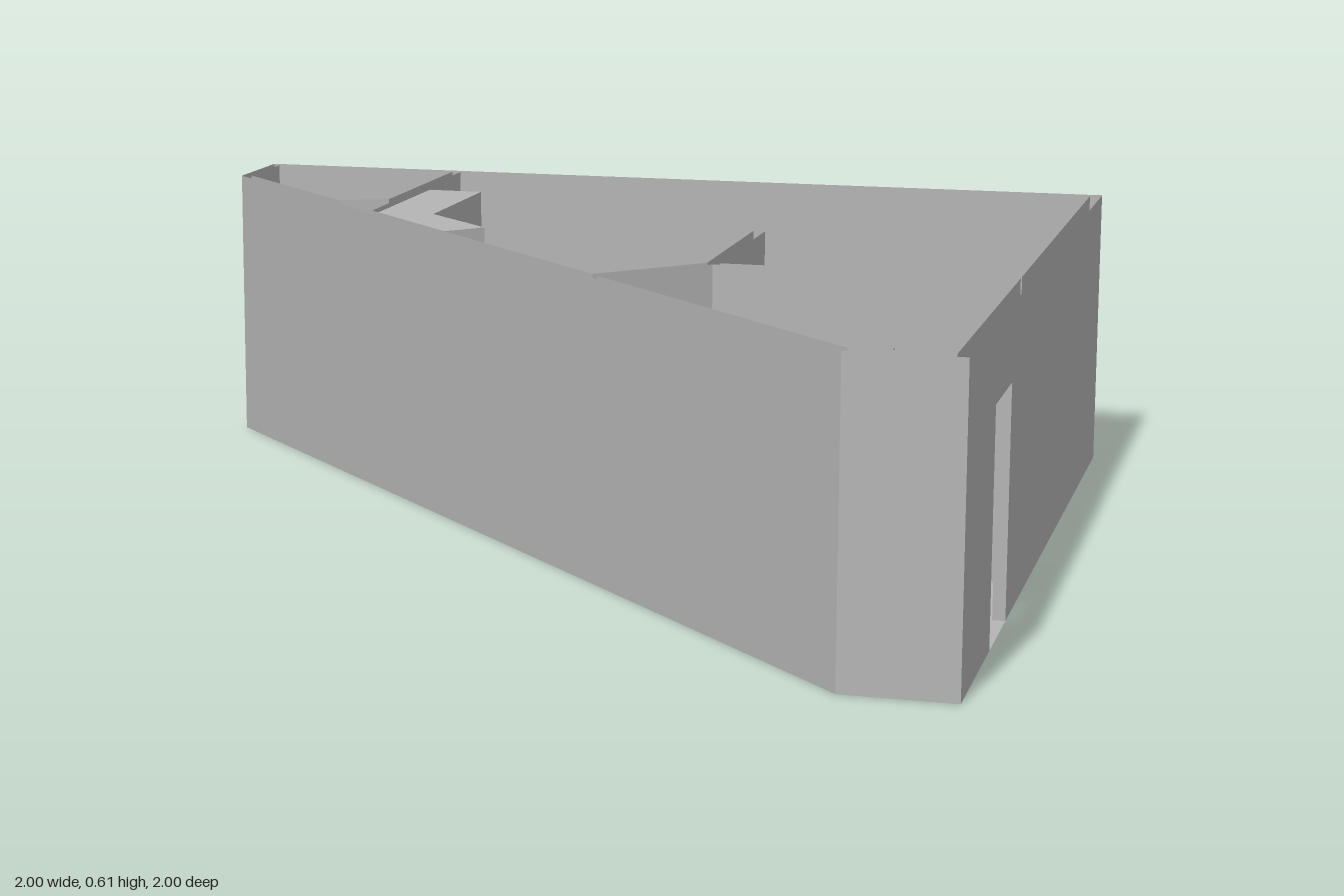
import * as THREE from 'three';

const WALL_H = 0.61, DOOR_H = 0.46;

export function createModel() {
  const model = new THREE.Group();
  model.name = 'apartment';
  const grey = new THREE.MeshStandardMaterial({ color: 0xb4b4b4, side: THREE.DoubleSide });
  grey.name = 'plain grey';

  const add = (name, geometry, parent = model) => {
    const mesh = new THREE.Mesh(geometry, grey);
    mesh.name = name;
    parent.add(mesh);
    return mesh;
  };
  // plan outline in (x, z)
  const plan = (pts) => new THREE.Shape(pts.map(([x, z]) => new THREE.Vector2(x, -z)));
  const rect = (x0, x1, z0, z1) => [[x0, z0], [x1, z0], [x1, z1], [x0, z1]];

  // upright block from a plan outline, with optional hole
  const prism = (name, pts, y0, y1, hole, parent) => {
    const shape = plan(pts);
    if (hole) shape.holes.push(plan(hole));
    const g = new THREE.ExtrudeGeometry(shape, { depth: y1 - y0, bevelEnabled: false });
    return add(name, g.rotateX(-Math.PI / 2).translate(0, y0, 0), parent);
  };

  // block from a (z, y) profile running from x0 to x1
  const sideProfile = (name, pts, x0, x1, parent) => {
    const shape = new THREE.Shape(pts.map(([z, y]) => new THREE.Vector2(z, y)));
    const g = new THREE.ExtrudeGeometry(shape, { depth: x1 - x0, bevelEnabled: false });
    return add(name, g.rotateY(-Math.PI / 2).translate(x1, 0, 0), parent);
  };

  // ring of upright wall faces; doors maps a side index to [start, end] along it
  const wallRing = (name, pts, doors = {}) => {
    const ring = new THREE.Group();
    ring.name = name;
    pts.forEach(([x, z], i) => {
      const [x2, z2] = pts[(i + 1) % pts.length];
      const len = Math.hypot(x2 - x, z2 - z);
      const outline = [[0, 0]];
      if (doors[i]) {
        const [a, b] = doors[i];
        outline.push([a, 0], [a, DOOR_H], [b, DOOR_H], [b, 0]);
      }
      outline.push([len, 0], [len, WALL_H], [0, WALL_H]);
      const shape = new THREE.Shape(outline.map((p) => new THREE.Vector2(...p)));
      const g = new THREE.ShapeGeometry(shape);
      g.rotateY(Math.atan2(z - z2, x2 - x)).translate(x, 0, z);
      add('wall', g, ring);
    });
    model.add(ring);
  };

  const room = (name, pts, doors) => {
    add(name + 'Floor', new THREE.ShapeGeometry(plan(pts)).rotateX(-Math.PI / 2));
    wallRing(name + 'Walls', pts, doors);
  };

  // door lining: a box without the two faces one walks through
  const doorLining = (name, x0, x1, z0, z1, alongX) => {
    const g = new THREE.BoxGeometry(x1 - x0, DOOR_H, z1 - z0);
    const index = Array.from(g.index.array);
    g.setIndex(alongX ? index.slice(12) : index.slice(0, 24));
    g.clearGroups();
    add(name, g.translate((x0 + x1) / 2, DOOR_H / 2, (z0 + z1) / 2));
  };

  // outer shell, open on top between its faces and the room faces
  wallRing('outerWalls',
    [[-1, -1], [1, -1], [1, 1], [0.78, 1], [-1, -0.78]],
    { 1: [1.45, 1.66] });

  // rooms
  room('sideRoom',
    [[-0.98, -0.98], [-0.54, -0.98], [-0.54, -0.505], [-0.645, -0.46], [-0.98, -0.79]],
    { 1: [0.01, 0.22] });
  room('livingRoom',
    [[-0.52, -0.98], [0.975, -0.98], [0.975, 0.16], [0.375, 0.16], [0.375, -0.27],
      [0.35, -0.27], [0.35, 0.16], [0.165, 0.35], [-0.52, -0.33]],
    { 2: [0.05, 0.245], 8: [0.43, 0.64] });
  room('entryRoom',
    [[0.365, 0.178], [0.975, 0.178], [0.975, 0.97], [0.785, 0.97], [0.18, 0.37]],
    { 0: [0.365, 0.56], 1: [0.272, 0.482] });

  doorLining('frontDoorway', 0.975, 1, 0.45, 0.66, true);
  doorLining('sideRoomDoorway', -0.54, -0.52, -0.97, -0.76, true);
  doorLining('entryDoorway', 0.73, 0.925, 0.16, 0.178, false);

  // tall angled wardrobe
  prism('wardrobe',
    [[-0.52, -0.74], [-0.395, -0.74], [-0.395, -0.38], [-0.23, -0.225], [-0.315, -0.13], [-0.52, -0.33]],
    0, 0.6);

  // bed along the slanted wall and corner table
  prism('bed', [[-0.165, 0.02], [-0.02, -0.125], [0.31, 0.205], [0.165, 0.35]], 0, 0.14);
  prism('cornerTable', [[0.22, 0.115], [0.27, 0.07], [0.35, 0.07], [0.35, 0.16], [0.31, 0.205]], 0, 0.12);

  // sofa facing the back wall
  const sofa = new THREE.Group();
  sofa.name = 'sofa';
  model.add(sofa);
  sideProfile('seat', [[-0.73, 0], [-0.57, 0], [-0.57, 0.1], [-0.73, 0.1]], -0.17, 0.24, sofa);
  sideProfile('backrest',
    [[-0.575, 0], [-0.49, 0], [-0.52, 0.2], [-0.545, 0.2], [-0.575, 0.1]], -0.17, 0.24, sofa);
  for (const x of [-0.2, 0.24]) {
    sideProfile('arm', [[-0.73, 0], [-0.49, 0], [-0.512, 0.15], [-0.73, 0.15]], x, x + 0.03, sofa);
  }

  // screen on the back wall
  prism('screen', rect(-0.16, 0.225, -0.975, -0.963), 0.115, 0.305);

  // kitchen counter with sink
  prism('counter',
    [[0.655, -0.98], [0.975, -0.98], [0.975, -0.435], [0.815, -0.435], [0.815, -0.825], [0.655, -0.825]],
    0, 0.21, rect(0.83, 0.91, -0.59, -0.475));
  prism('sinkBottom', rect(0.83, 0.91, -0.59, -0.475), 0.15, 0.155);
  prism('fridge', rect(0.8, 0.975, -0.435, -0.26), 0, 0.475);

  // stove with four square burners
  prism('stove', rect(0.48, 0.655, -0.98, -0.825), 0, 0.21);
  for (const x of [0.503, 0.578]) {
    for (const z of [-0.968, -0.898]) {
      prism('burner', rect(x, x + 0.058, z, z + 0.054), 0.21, 0.217,
        rect(x + 0.007, x + 0.051, z + 0.007, z + 0.047));
    }
  }
  return model;
}
